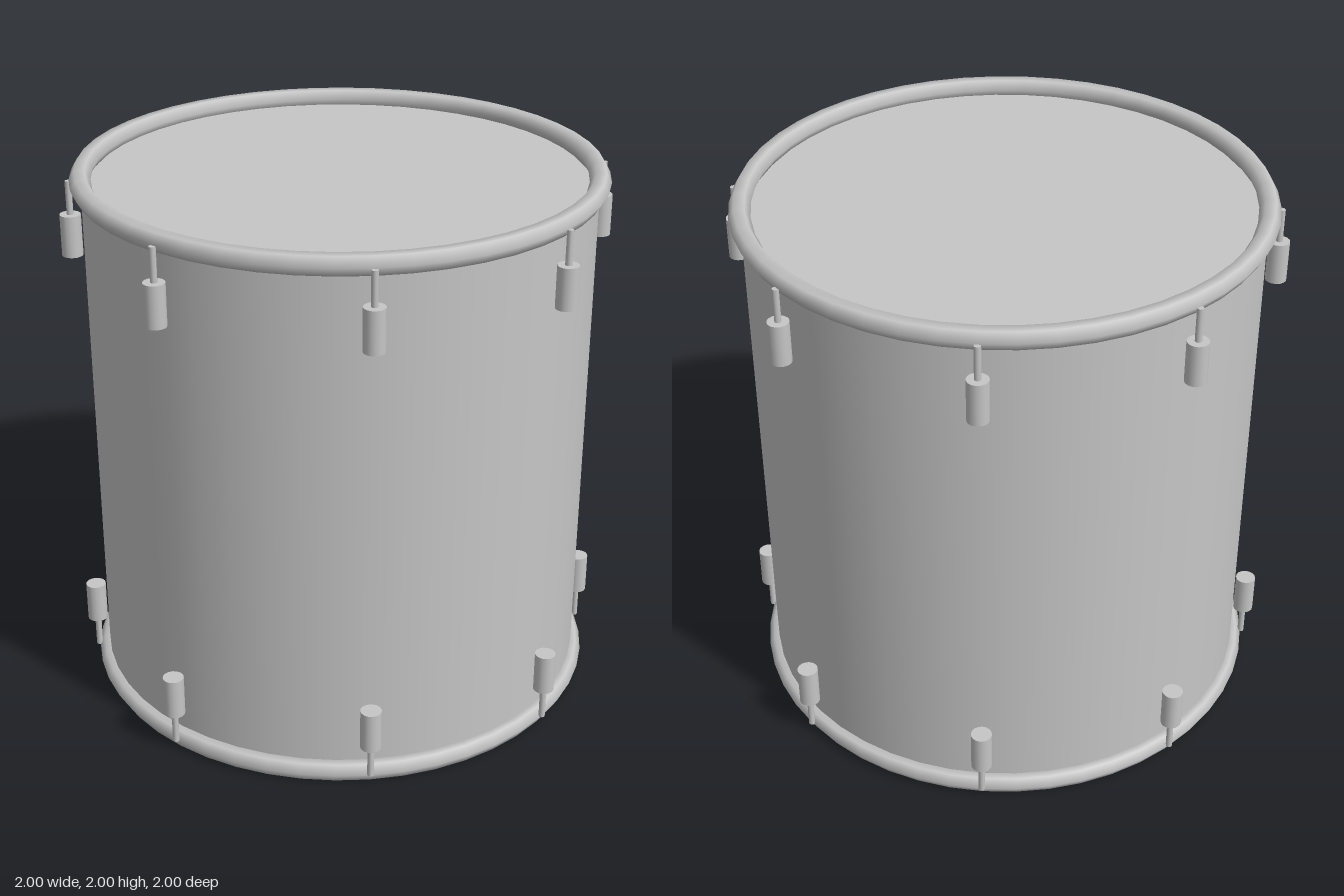
import * as THREE from 'three';

export function createModel() {
  const drum = new THREE.Group();
  drum.name = 'drum';
  const grey = new THREE.MeshStandardMaterial({ color: 0xc6c6c6 });
  grey.name = 'light grey';

  const add = (parent, geometry, name, x, y, z) => {
    const mesh = new THREE.Mesh(geometry, grey);
    mesh.name = name;
    mesh.position.set(x, y, z);
    parent.add(mesh);
    return mesh;
  };

  // Shell
  add(drum, new THREE.CylinderGeometry(0.92, 0.92, 1.85, 48), 'shell', 0, 1, 0);

  // Shared geometry for the two ends
  const headGeo = new THREE.CylinderGeometry(0.89, 0.89, 0.02, 48);
  const hoopGeo = new THREE.TorusGeometry(0.921, 0.0385, 6, 48).rotateX(Math.PI / 2);
  const lugGeo = new THREE.CylinderGeometry(0.038, 0.038, 0.153, 16);
  const rodGeo = new THREE.CylinderGeometry(0.012, 0.012, 0.125, 8);

  for (const side of [1, -1]) {
    const end = new THREE.Group();
    end.name = side > 0 ? 'topEnd' : 'bottomEnd';
    const at = (h) => 1 + side * h; // height measured from the drum's middle
    add(end, headGeo, 'head', 0, at(0.935), 0);
    add(end, hoopGeo, 'hoop', 0, at(0.9665), 0);

    // Eight tension lugs with their rods
    for (let i = 0; i < 8; i++) {
      const a = (i * Math.PI) / 4;
      const x = 0.962 * Math.cos(a);
      const z = 0.962 * Math.sin(a);
      add(end, lugGeo, 'lug', x, at(0.7625), z);
      add(end, rodGeo, 'tensionRod', x, at(0.9), z);
    }
    drum.add(end);
  }
  return drum;
}
